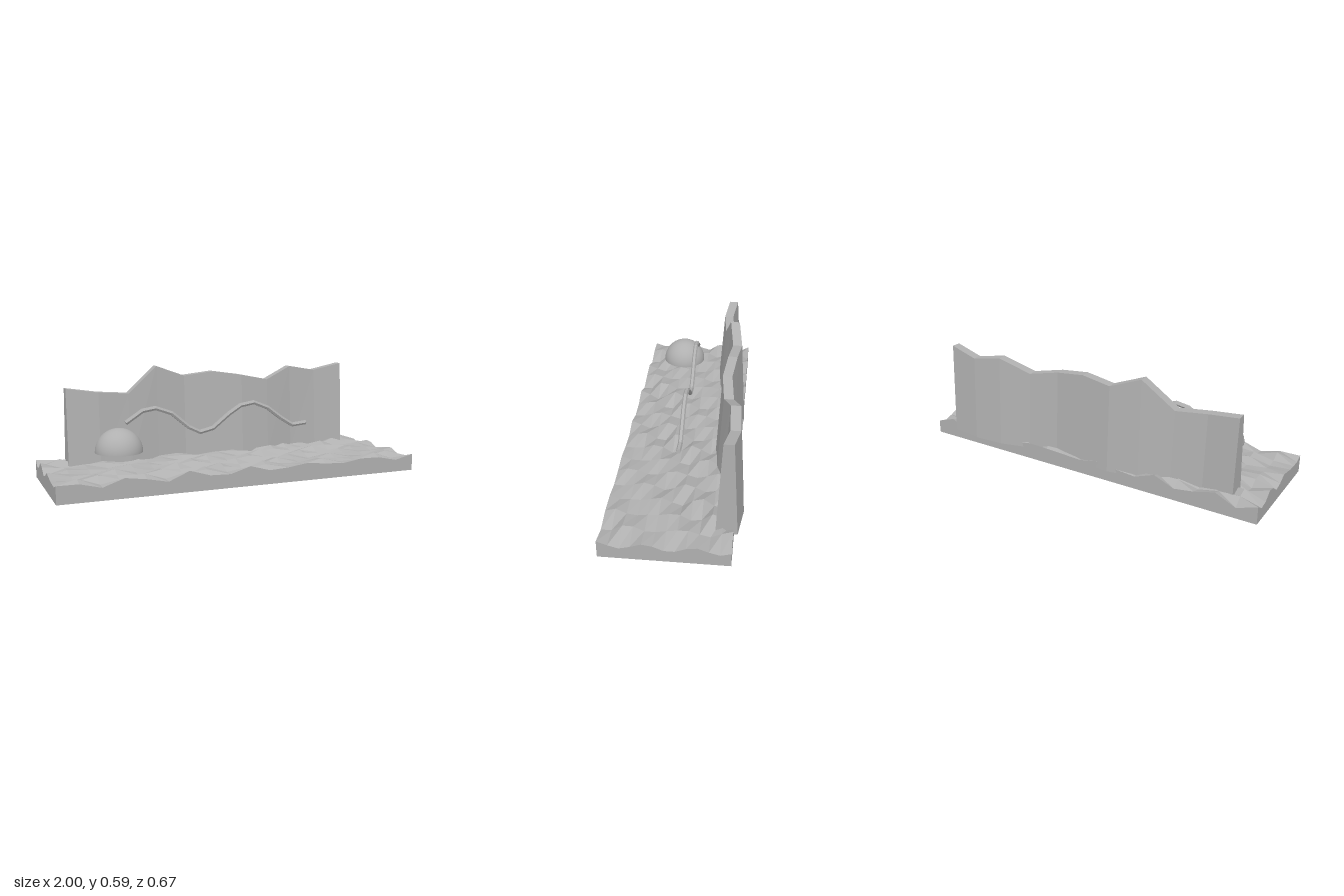
import * as THREE from 'three';

const stone = new THREE.MeshStandardMaterial({ color: 0xb0b0b0, side: THREE.DoubleSide });
stone.name = 'stone grey';

// Faceted copy of a geometry
function faceted(geometry) {
  const g = geometry.toNonIndexed();
  g.computeVertexNormals();
  return g;
}

function addPart(group, name, geometry) {
  const mesh = new THREE.Mesh(geometry, stone);
  mesh.name = name;
  group.add(mesh);
  return mesh;
}

// Slab with a choppy grid on top: i counts along x, j along z
function groundGeometry() {
  const nx = 18, nz = 12, depth = 0.625;
  const g = new THREE.BoxGeometry(depth, 1, 2, nz, 1, nx).rotateY(Math.PI / 2);
  const p = g.attributes.position;
  for (let k = 0; k < p.count; k++) {
    const i = Math.round((p.getX(k) + 1) / 2 * nx);
    const j = Math.round((p.getZ(k) / depth + 0.5) * nz);
    const wave = 0.017 * Math.sin(2.1 * i + 1.4 * j + 3.2);
    const ripple = 0.013 * Math.sin(2.5 * (nx - i)) * Math.cos(1.9 * j);
    const base = i === nx ? 0.076 : 0.085;
    p.setY(k, p.getY(k) > 0 ? base + wave + ripple : 0);
    p.setZ(k, p.getZ(k) + 0.022);
  }
  return faceted(g);
}

// Winding wall, thinner at its jagged crest
function ridgeGeometry() {
  const crest = [0.49, 0.465, 0.45, 0.592, 0.53, 0.55, 0.525, 0.49, 0.56, 0.53, 0.568];
  const centre = [-0.19, -0.17, -0.187, -0.222, -0.245, -0.228, -0.21, -0.228, -0.27, -0.279, -0.257];
  const g = new THREE.BoxGeometry(1.7, 1, 1, 10, 1, 1);
  const p = g.attributes.position;
  for (let k = 0; k < p.count; k++) {
    const i = Math.round((p.getX(k) + 0.85) / 0.17);
    const top = p.getY(k) > 0;
    p.setZ(k, centre[i] + Math.sign(p.getZ(k)) * (top ? 0.025 : 0.053));
    p.setY(k, top ? crest[i] : 0.06);
  }
  return faceted(g);
}

export function createModel() {
  const model = new THREE.Group();
  model.name = 'landscape';

  addPart(model, 'ground', groundGeometry());
  addPart(model, 'ridge', ridgeGeometry());

  // Floating half sphere
  const dome = addPart(model, 'dome',
    new THREE.SphereGeometry(0.123, 32, 12, 0, Math.PI * 2, 0, Math.PI / 2));
  dome.position.set(-0.635, 0.186, 0.102);

  // Wavy six-sided rod, straight between bends
  const bends = [
    [-0.573, 0.318], [-0.482, 0.377], [-0.41, 0.388], [-0.32, 0.355], [-0.225, 0.275],
    [-0.16, 0.243], [-0.085, 0.26], [0.01, 0.334], [0.08, 0.377], [0.16, 0.39],
    [0.246, 0.355], [0.332, 0.291], [0.401, 0.249], [0.487, 0.257],
  ].map(([x, y]) => new THREE.Vector3(x, y, 0.011));
  const path = new THREE.CatmullRomCurve3(bends);
  path.getPointAt = (u, target) => path.getPoint(u, target);
  path.getTangentAt = (u, target) => path.getTangent(u, target);
  addPart(model, 'wavyRod', faceted(new THREE.TubeGeometry(path, bends.length - 1, 0.013, 6)));

  // Rod end caps
  for (const [u, dir] of [[0, -1], [1, 1]]) {
    const cap = addPart(model, 'rodCap', new THREE.CircleGeometry(0.013, 6));
    cap.position.copy(path.getPoint(u));
    cap.lookAt(path.getTangent(u).multiplyScalar(dir).add(cap.position));
  }
  return model;
}
